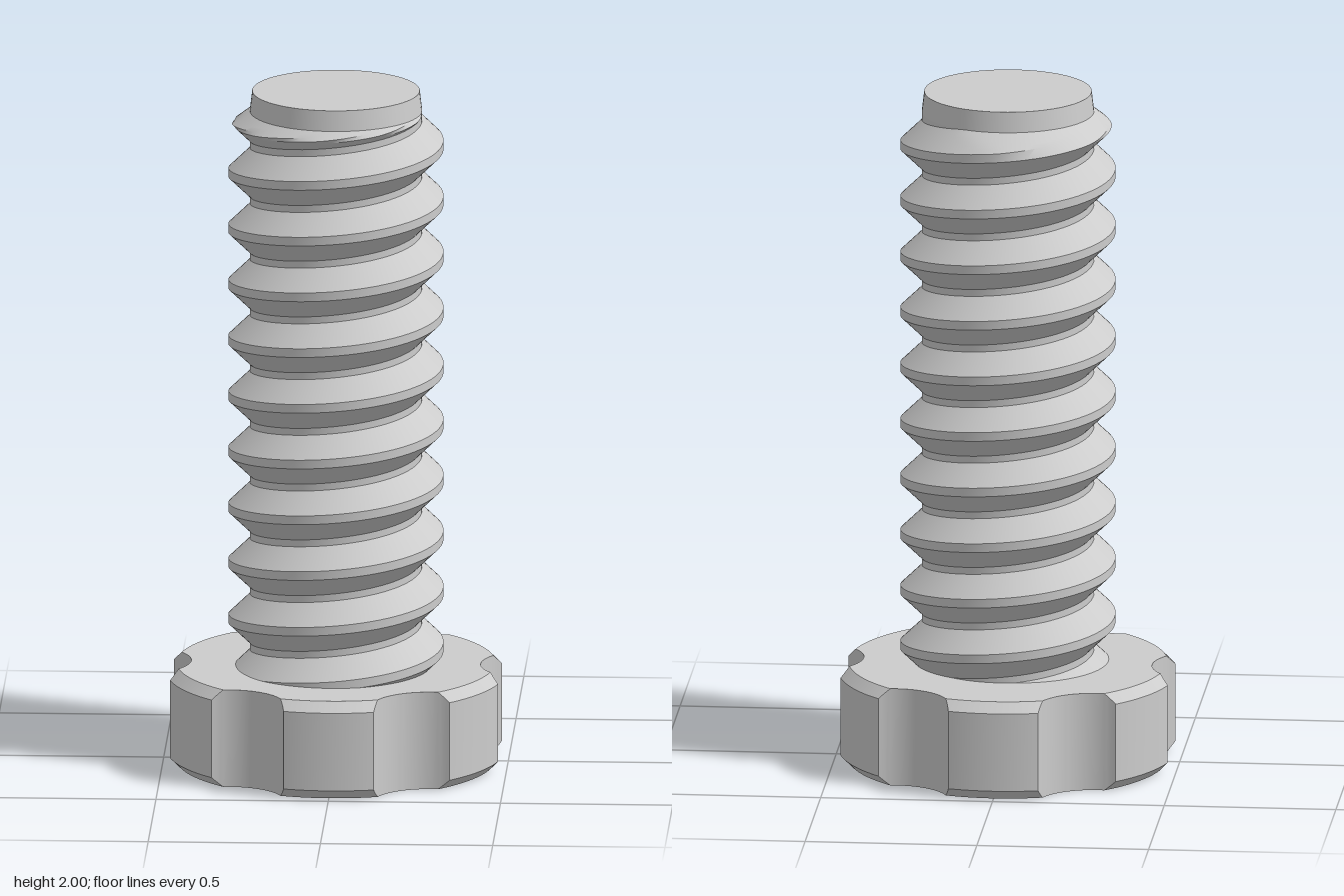
import * as THREE from 'three';
import { toCreasedNormals } from 'three/addons/utils/BufferGeometryUtils.js';

const HEAD_R = 0.492, HEAD_H = 0.29, CHAMFER = 0.029;
const NOTCH_C = 0.585, NOTCH_R = 0.165;
const ROOT = 0.25, CREST = 0.312, PITCH = 0.1667, TIP_Y = 1.94;

// Surface from a list of rows; rows run anticlockwise (from above), points run upward.
function skin(rows, crease) {
  const pos = [];
  const tri = (a, b, c) => {
    const area = b.clone().sub(a).cross(c.clone().sub(a)).length();
    if (area > 1e-9) pos.push(...a.toArray(), ...b.toArray(), ...c.toArray());
  };
  for (let i = 0; i < rows.length - 1; i++) {
    for (let j = 0; j < rows[i].length - 1; j++) {
      const a = rows[i][j], b = rows[i + 1][j], c = rows[i + 1][j + 1], d = rows[i][j + 1];
      tri(a, b, c);
      tri(a, c, d);
    }
  }
  const g = new THREE.BufferGeometry();
  g.setAttribute('position', new THREE.Float32BufferAttribute(pos, 3));
  return toCreasedNormals(g, crease);
}

const polar = (r, y, a) => new THREE.Vector3(r * Math.cos(a), y, -r * Math.sin(a));

// Six-notched round head whose chamfer cuts only the lobes
function headGeometry() {
  const cornerAngle = (r) => Math.acos((r * r + NOTCH_C ** 2 - NOTCH_R ** 2) / (2 * r * NOTCH_C));
  const inner = HEAD_R - CHAMFER;
  const stops = [0, cornerAngle(inner), cornerAngle(HEAD_R), Math.PI / 6];
  const counts = [10, 4, 10];
  const half = [0];
  counts.forEach((n, k) => {
    for (let i = 1; i <= n; i++) half.push(THREE.MathUtils.lerp(stops[k], stops[k + 1], i / n));
  });
  const sector = [...half.slice(1).reverse().map((t) => -t), ...half];
  const rows = [];
  for (let k = 0; k < 6; k++) {
    for (const t of sector) {
      const disc = NOTCH_R ** 2 - (NOTCH_C * Math.sin(t)) ** 2;
      const notch = disc > 0 ? NOTCH_C * Math.cos(t) - Math.sqrt(disc) : HEAD_R;
      const r = Math.min(HEAD_R, notch), flat = Math.min(inner, r), drop = r - flat;
      const a = t + k * Math.PI / 3;
      rows.push([[0, 0], [flat, 0], [r, drop], [r, HEAD_H - drop], [flat, HEAD_H], [0, HEAD_H]]
        .map(([pr, y]) => polar(pr, y, a)));
    }
  }
  rows.push(rows[0]);
  return skin(rows, 0.5);
}

// Right-handed helical ribbon: root, flank, crest, flank, root
function threadGeometry() {
  const profile = [[-PITCH / 2, ROOT]];
  const steps = 6, rootHalf = 0.073, crestHalf = 0.013;
  for (let i = 0; i <= steps; i++) {
    const t = i / steps;
    profile.push([THREE.MathUtils.lerp(-rootHalf, -crestHalf, t), THREE.MathUtils.lerp(ROOT, CREST, t)]);
  }
  for (let i = 0; i <= steps; i++) {
    const t = i / steps;
    profile.push([THREE.MathUtils.lerp(crestHalf, rootHalf, t), THREE.MathUtils.lerp(CREST, ROOT, t)]);
  }
  profile.push([PITCH / 2, ROOT]);

  const perTurn = 72, rows = [];
  for (let i = -11 * perTurn; i <= 2 * perTurn; i++) {
    const a = 2 * Math.PI * i / perTurn;
    const mid = 1.838 + PITCH * i / perTurn;
    rows.push(profile.map(([dy, r]) => {
      const y = THREE.MathUtils.clamp(mid + dy, 0.2, TIP_Y);
      // Conical run-out below the tip
      return polar(Math.min(r, ROOT + 1.3 * (TIP_Y - y)), y, a);
    }));
  }
  return skin(rows, 0.5);
}

export function createModel() {
  const model = new THREE.Group();
  model.name = 'bolt';
  const steel = new THREE.MeshStandardMaterial({ color: 0xcccccc });
  steel.name = 'grey steel';
  const add = (name, geometry) => {
    const mesh = new THREE.Mesh(geometry, steel);
    mesh.name = name;
    model.add(mesh);
    return mesh;
  };

  add('notchedHead', headGeometry());
  add('threadedShaft', threadGeometry());
  // Plain tip above the thread
  add('shaftTip', new THREE.CylinderGeometry(0.243, ROOT, 2 - TIP_Y, 72)).position.y = (2 + TIP_Y) / 2;
  return model;
}
